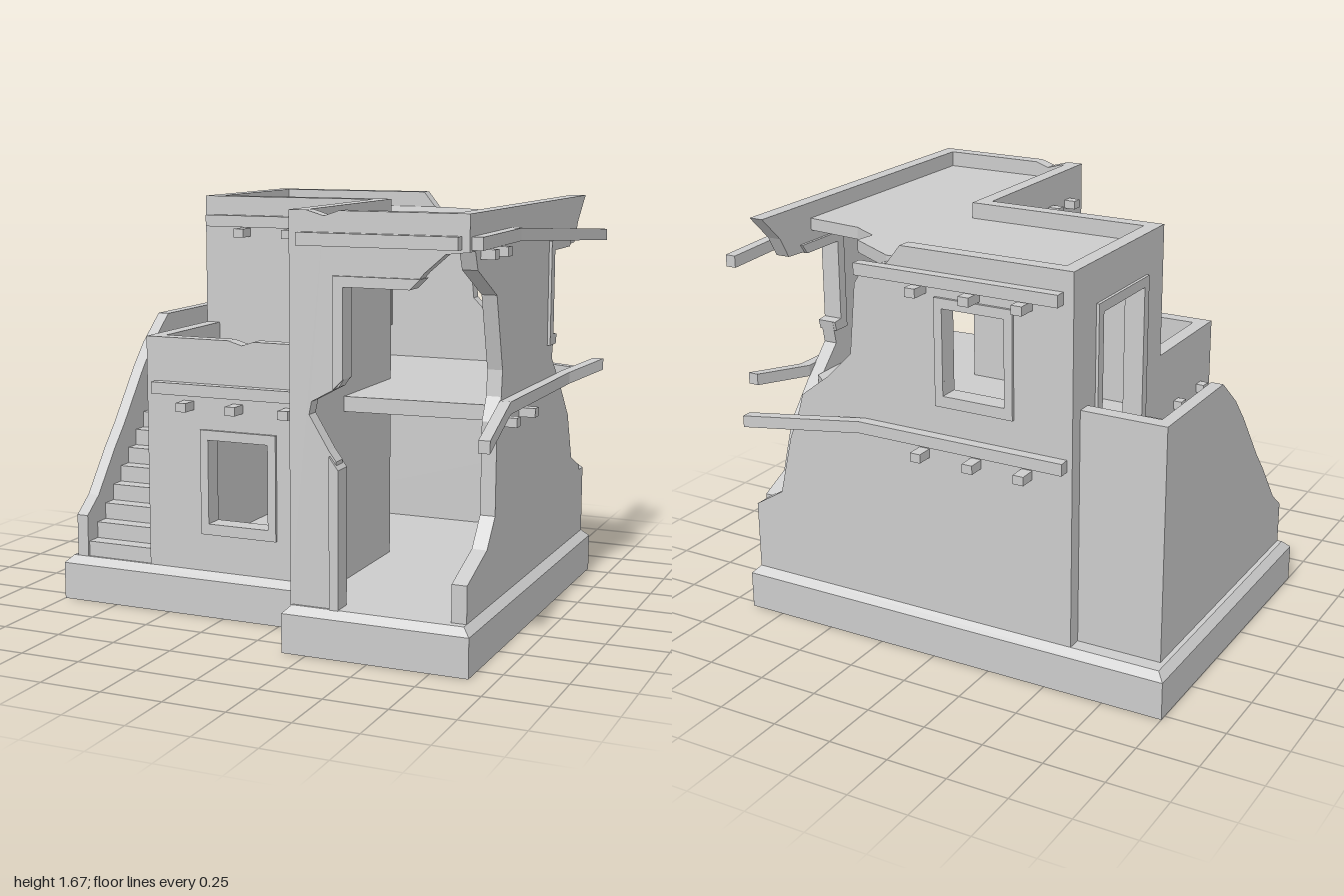
import * as THREE from 'three';

const mat = new THREE.MeshStandardMaterial({ color: 0xcccccc, flatShading: true });
const T = 0.06; // wall thickness

const rect = (a, b, c, d) => [[a, b], [c, b], [c, d], [a, d]];

function extrude(pts, depth, holes = []) {
  const shape = new THREE.Shape(pts.map(p => new THREE.Vector2(...p)));
  for (const h of holes) shape.holes.push(new THREE.Path(h.map(p => new THREE.Vector2(...p))));
  return new THREE.ExtrudeGeometry(shape, { depth, bevelEnabled: false });
}

export function createModel() {
  const root = new THREE.Group();
  const add = (name, geo) => {
    const mesh = new THREE.Mesh(geo, mat);
    mesh.name = name;
    root.add(mesh);
    return mesh;
  };
  // outline in (x, y), facing z
  const wallZ = (name, pts, z, t = T, holes) => add(name, extrude(pts, t, holes).translate(0, 0, z));
  // outline in (z, y), facing x
  const wallX = (name, pts, x, t = T, holes) =>
    add(name, extrude(pts, t, holes).rotateY(-Math.PI / 2).translate(x + t, 0, 0));
  // outline in (x, z), top at y
  const slab = (name, pts, top, t) => add(name, extrude(pts, t).rotateX(Math.PI / 2).translate(0, top, 0));
  const box = (name, x, y, z, w, h, d) => add(name, new THREE.BoxGeometry(w, h, d).translate(x, y, z));

  // timber swept along a bent path of [x, y, z] points
  function beam(name, path, w = 0.045, h = 0.048) {
    const p = path.map(q => new THREE.Vector3(...q));
    const dir = p[p.length - 1].clone().sub(p[0]);
    const side = new THREE.Vector3(0, 1, 0).cross(dir).normalize();
    const pos = [], idx = [];
    p.forEach((c, k) => {
      for (const [s, u] of [[-1, -1], [1, -1], [1, 1], [-1, 1]]) {
        const v = c.clone().addScaledVector(side, s * w / 2);
        pos.push(v.x, v.y + u * h / 2, v.z);
      }
      if (!k) return;
      for (let i = 0; i < 4; i++) {
        const a = 4 * k - 4 + i, b = 4 * k - 4 + (i + 1) % 4;
        idx.push(a, b, b + 4, a, b + 4, a + 4);
      }
    });
    const e = 4 * (p.length - 1);
    idx.push(0, 2, 1, 0, 3, 2, e, e + 1, e + 2, e, e + 2, e + 3);
    const g = new THREE.BufferGeometry();
    g.setAttribute('position', new THREE.Float32BufferAttribute(pos, 3));
    g.setIndex(idx);
    const flat = g.toNonIndexed();
    flat.computeVertexNormals();
    add(name, flat);
  }

  // L-shaped plinth with a chamfered top
  const L = [[-1, -0.78], [0.9, -0.78], [0.9, 0.85], [0.15, 0.85], [0.15, 0.56], [-1, 0.56]];
  slab('plinth', L, 0.155, 0.155);
  const chamfer = slab('plinthChamfer', L, 0.185, 0.03).geometry;
  const cp = chamfer.attributes.position;
  for (let i = 0; i < cp.count; i++) {
    if (cp.getY(i) < 0.17) continue;
    const x = cp.getX(i), z = cp.getZ(i);
    cp.setX(i, x + (x > 0.5 ? -0.03 : 0.03));
    cp.setZ(i, z + (z < 0 ? 0.03 : -0.03));
  }
  chamfer.computeVertexNormals();

  // back wall: window on the upper floor, collapsed corner
  const backWindow = rect(-0.32, 1.115, -0.055, 1.46);
  wallZ('backWall', [[-0.6, 0.18], [0.87, 0.18], [0.87, 0.47], [0.74, 0.55], [0.68, 0.8], [0.63, 0.93],
    [0.61, 1.0], [0.48, 1.1], [0.37, 1.21], [0.34, 1.5], [0.3, 1.56], [0.19, 1.6], [0.13, 1.675], [-0.6, 1.675]],
  -0.75, T, [backWindow]);
  wallZ('backWindowFrame', rect(-0.355, 1.07, -0.02, 1.5), -0.762, 0.084, [backWindow]);

  // left wall with the door onto the stair landing
  const door = rect(-0.53, 0.93, -0.18, 1.47);
  wallX('leftWall', [[-0.69, 0.18], [0.47, 0.18], [0.47, 1.135], [0.01, 1.135], [0.01, 1.675], [-0.69, 1.675]],
    -0.6, T, [door]);
  wallX('doorFrame', [[-0.57, 0.93], [-0.53, 0.93], [-0.53, 1.47], [-0.18, 1.47], [-0.18, 0.93],
    [-0.14, 0.93], [-0.14, 1.51], [-0.57, 1.51]], -0.612, 0.084);

  // upper front wall and the terrace parapet with the lower window
  wallZ('upperFrontWall', rect(-0.54, 0.88, 0.17, 1.675), -0.05);
  const lowWindow = rect(-0.32, 0.385, -0.055, 0.73);
  wallZ('terraceWall', [[-0.6, 0.18], [0.17, 0.18], [0.17, 1.135], [-0.12, 1.135], [-0.17, 1.118], [-0.23, 1.135],
    [-0.6, 1.135]], 0.47, T, [lowWindow]);
  wallZ('lowerWindowFrame', rect(-0.355, 0.34, -0.02, 0.77), 0.458, 0.084, [lowWindow]);

  // front wing: left wall and the broken doorway front
  wallX('wingLeftWall', rect(-0.05, 0.18, 0.75, 1.675), 0.17);
  wallZ('wingFrontWall', [[0.17, 0.18], [0.36, 0.18], [0.36, 0.75], [0.33, 0.79], [0.25, 0.92], [0.26, 0.97],
    [0.37, 1.03], [0.39, 1.06], [0.39, 1.4], [0.65, 1.4], [0.7, 1.46], [0.78, 1.53], [0.87, 1.54], [0.87, 1.675],
    [0.37, 1.675], [0.31, 1.655], [0.24, 1.675], [0.17, 1.675]], 0.75);
  wallZ('doorwayFrameLower', [[0.335, 0.18], [0.372, 0.18], [0.372, 0.72], [0.335, 0.77]], 0.738, 0.084);
  wallZ('doorwayFrameUpper', [[0.35, 1.02], [0.39, 1.06], [0.39, 1.4], [0.65, 1.4], [0.69, 1.44], [0.35, 1.44]],
    0.738, 0.084);

  // right wall, broken at the front and through its window at the back
  wallX('rightWall', [[-0.69, 0.18], [0.79, 0.18], [0.79, 0.33], [0.57, 0.41], [0.48, 0.52], [0.475, 0.88],
    [0.43, 0.97], [0.42, 1.07], [0.5, 1.36], [0.72, 1.47], [0.75, 1.54], [0.75, 1.675], [-0.69, 1.675],
    [-0.58, 1.57], [-0.53, 1.485], [-0.205, 1.47], [-0.205, 1.135], [-0.25, 1.13], [-0.23, 1.03], [-0.36, 0.9],
    [-0.49, 0.75], [-0.56, 0.55], [-0.69, 0.49]], 0.81);
  wallX('brokenWindowFrame', [[-0.16, 1.09], [-0.16, 1.515], [-0.45, 1.515], [-0.42, 1.475], [-0.205, 1.475],
    [-0.205, 1.135], [-0.25, 1.13], [-0.24, 1.09]], 0.798, 0.084);

  // upper floor, terrace and roof, the floor and roof torn away at the rear corner
  slab('upperFloor', [[-0.54, -0.69], [0.62, -0.69], [0.6, -0.55], [0.81, -0.37], [0.81, 0.4], [0.23, 0.44],
    [0.23, 0.0], [-0.54, 0.0]], 0.93, 0.06);
  slab('terraceFloor', rect(-0.54, 0.0, 0.17, 0.47), 0.93, 0.06);
  slab('roof', [[-0.54, -0.69], [0.23, -0.69], [0.45, -0.56], [0.44, -0.47], [0.56, -0.4], [0.81, -0.37],
    [0.81, 0.75], [0.23, 0.75], [0.23, -0.05], [-0.54, -0.05]], 1.61, 0.05);

  // stair, landing and parapet
  const n = 11, top = 0.93, z0 = 0.52, run = 0.066, rise = (top - 0.18) / n;
  const steps = [[-0.63, 0.18], [z0, 0.18]];
  for (let i = 0; i < n; i++) {
    const y = 0.18 + rise * (i + 1);
    steps.push([z0 - run * i, y], [z0 - run * (i + 1), y]);
  }
  steps.push([-0.63, top]);
  wallX('stairs', steps, -0.9, 0.3);
  wallX('stairParapet', [[-0.69, 0.18], [0.53, 0.18], [0.53, 0.36], [0.44, 0.43], [0.3, 0.61], [0.22, 0.7],
    [0.05, 0.92], [-0.04, 1.02], [-0.18, 1.135], [-0.69, 1.135]], -0.95, 0.05);
  wallZ('landingParapet', rect(-0.9, 0.18, -0.6, 1.135), -0.69);

  // trim timbers, sagging where the walls have gone
  beam('upperFrontBeam', [[-0.58, 1.572, 0.028], [0.16, 1.572, 0.028]]);
  beam('terraceBeam', [[-0.56, 0.932, 0.548], [0.155, 0.932, 0.548]]);
  beam('wingFrontBeam', [[0.215, 1.572, 0.828], [0.84, 1.572, 0.828]]);
  beam('upperBackBeam', [[-0.56, 1.572, -0.775], [0.31, 1.572, -0.775]]);
  beam('lowerBackBeam', [[-0.58, 0.932, -0.775], [0.31, 0.932, -0.775], [0.83, 0.88, -0.835]]);
  beam('upperRightBeam', [[0.89, 1.57, 0.79], [0.89, 1.575, 0.35], [0.93, 1.505, -0.75]]);
  beam('lowerRightBeam', [[0.93, 0.85, 0.8], [0.89, 0.932, 0.44], [0.89, 0.932, -0.35], [0.965, 0.96, -0.61]]);

  // projecting joists
  const J = 0.045;
  for (const x of [-0.41, -0.19, 0.04]) {
    box('upperJoist', x, 1.525, -0.375, J, 0.036, 0.91);
    box('lowerJoist', x, 0.865, -0.11, J, 0.036, 1.42);
  }
  for (const z of [0.52, 0.67]) {
    box('wingJoistLeft', 0.18, 1.525, z, 0.12, 0.036, J);
    box('wingJoistRight', 0.87, 1.525, z, 0.11, 0.036, J);
  }
  for (const z of [0.18, 0.41]) {
    box('terraceJoistLeft', -0.59, 0.875, z, 0.09, 0.036, J);
    box('lowerJoistRight', 0.87, 0.875, z, 0.13, 0.036, J);
  }
  return root;
}
